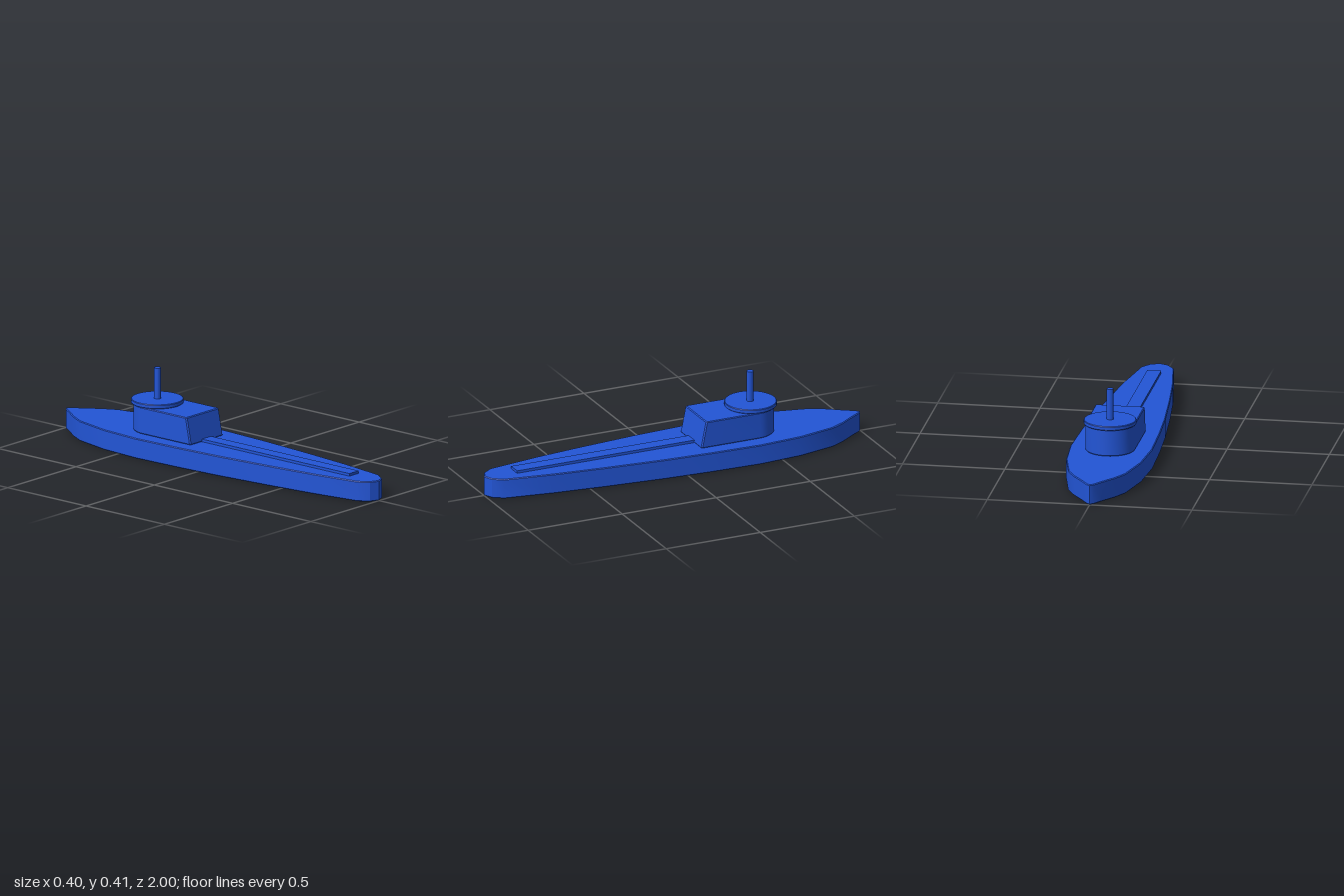
import * as THREE from 'three';
import { toCreasedNormals } from 'three/addons/utils/BufferGeometryUtils.js';

const BEVEL = 0.004;

// Upright slab with softened rims from right-half outline points [x, z], mirrored in x
function slab(half, y0, y1) {
  const mirrored = half.filter(([x]) => x > 0).reverse().map(([x, z]) => [-x, z]);
  const outline = [...half, ...mirrored].map(([x, z]) => new THREE.Vector2(x, -z));
  const geo = new THREE.ExtrudeGeometry(new THREE.Shape(outline), {
    depth: y1 - y0 - 2 * BEVEL,
    bevelSize: BEVEL, bevelOffset: -BEVEL, bevelThickness: BEVEL, bevelSegments: 1,
  });
  geo.rotateX(-Math.PI / 2);
  geo.translate(0, y0 + BEVEL, 0);
  return geo;
}

export function createModel() {
  const model = new THREE.Group();
  const blue = new THREE.MeshStandardMaterial({ color: 0x2255d6 });
  blue.name = 'blue';

  function add(name, geo, y = 0, z = 0) {
    const mesh = new THREE.Mesh(toCreasedNormals(geo, 0.5), blue);
    mesh.name = name;
    mesh.position.set(0, y, z);
    model.add(mesh);
  }

  // Hull: pointed at the back, blunt and narrow at the front
  add('hull', slab([
    [0, 1], [0.045, 0.98], [0.08, 0.93], [0.12, 0.68], [0.15, 0.42], [0.178, 0.12],
    [0.192, -0.12], [0.2, -0.38], [0.183, -0.6], [0.14, -0.79], [0.1, -0.865],
    [0.05, -0.935], [0.018, -0.985], [0, -1],
  ], 0, 0.1));

  // Cabin: straight sides, rounded back
  const cabinHalf = [[0.114, -0.1], [0.12, -0.106]];
  for (let i = 0; i <= 10; i++) {
    const a = (i / 10) * Math.PI / 2;
    cabinHalf.push([i === 10 ? 0 : 0.12 * Math.cos(a), -0.41 - 0.12 * Math.sin(a)]);
  }
  const cabin = slab(cabinHalf, 0.1, 0.233);
  // Lean the front wall backwards
  const p = cabin.attributes.position;
  for (let i = 0; i < p.count; i++) {
    if (p.getZ(i) > -0.2) p.setZ(i, p.getZ(i) - 0.2 * (p.getY(i) - 0.1));
  }
  add('cabin', cabin);

  // Round roof plate with a small rim bevel
  const roof = [[0, 0], [0.124, 0], [0.127, 0.003], [0.127, 0.018], [0.124, 0.021], [0, 0.021]];
  add('roofDisc', new THREE.LatheGeometry(roof.map(([x, y]) => new THREE.Vector2(x, y)), 40), 0.233, -0.417);

  add('mast', new THREE.CylinderGeometry(0.017, 0.017, 0.155, 20), 0.3295, -0.415);

  // Raised strip along the foredeck
  add('deckStrip', new THREE.BoxGeometry(0.068, 0.018, 0.95), 0.104, 0.365);

  return model;
}
